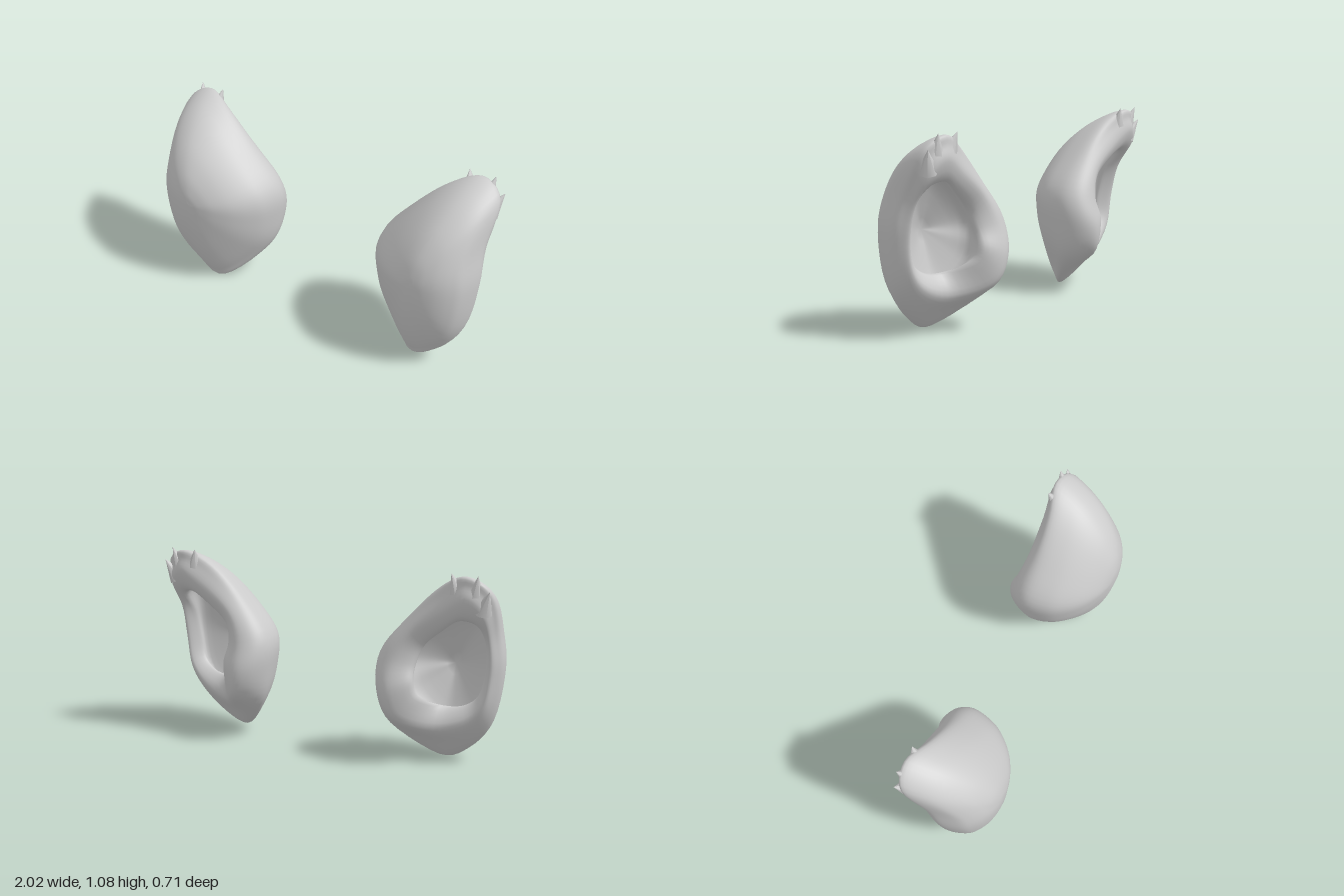
import * as THREE from 'three';
import { mergeVertices } from 'three/addons/utils/BufferGeometryUtils.js';

const V = (x, y, z) => new THREE.Vector3(x, y, z);
const PIVOT = V(0.67, 0.54, -0.1);
const FRONT = V(0.73, 0.57, 0.155);  // foremost point of the dome
const FLOOR = V(0.7, 0.54, 0.01);    // deepest point of the hollow

// Around the shell from the bottom, outwards, over the top and back on the inner side:
// outline x, y, z | crest of the rim x, y, z | dome fall-off, rim roundness, lip width
const KEYS = [
  [0.65, 0.02, -0.01, 0.67, 0.22, -0.2, 0.78, 0.03, 0.36],
  [0.82, 0.09, -0.02, 0.83, 0.27, -0.175, 0.7, 0.08, 0.27],
  [0.955, 0.27, -0.06, 0.925, 0.38, -0.175, 0.52, 0.12, 0.2],
  [1.0, 0.55, -0.09, 0.95, 0.55, -0.18, 0.45, 0.15, 0.16],
  [0.985, 0.76, -0.14, 0.95, 0.72, -0.22, 0.48, 0.12, 0.14],
  [0.97, 0.99, -0.285, 0.935, 0.87, -0.315, 0.68, 0.1, 0.18],
  [0.835, 1.07, -0.315, 0.84, 0.94, -0.345, 0.72, 0.1, 0.27],
  [0.675, 0.99, -0.25, 0.71, 0.86, -0.315, 0.72, 0.12, 0.3],
  [0.49, 0.8, -0.2, 0.55, 0.73, -0.295, 0.62, 0.18, 0.34],
  [0.345, 0.6, -0.19, 0.47, 0.58, -0.315, 0.55, 0.2, 0.42],
  [0.345, 0.4, -0.2, 0.46, 0.42, -0.355, 0.55, 0.2, 0.46],
  [0.42, 0.2, -0.16, 0.51, 0.28, -0.325, 0.63, 0.12, 0.44],
];

// Dome, outline, rim, lip and hollow as one list of closed rings
function makeRings() {
  const dome = s => KEYS.map(([x, y, z, , , , q]) => {
    const p = FRONT.clone().lerp(V(x, y, z), s);
    p.z = z + (FRONT.z - z) * Math.pow(1 - s * s, q);
    return p;
  });
  const outline = KEYS.map(k => V(k[0], k[1], k[2]));
  const crest = KEYS.map(k => V(k[3], k[4], k[5]));
  const shoulder = KEYS.map(([, , , , , , , r], i) => {
    const p = outline[i].clone().lerp(crest[i], 0.5 - r);
    p.z = THREE.MathUtils.lerp(outline[i].z, crest[i].z, 0.5 + r);
    return p;
  });
  const lip = crest.map((c, i) => {
    const p = c.clone().lerp(FLOOR, KEYS[i][8]);
    p.z = c.z + 0.06;
    return p;
  });
  const hollow = outline.map((o, i) => {
    const p = FLOOR.clone().lerp(o, 0.75 - 0.6 * KEYS[i][8]);
    p.z = THREE.MathUtils.lerp(FLOOR.z, crest[i].z, 0.42);
    return p;
  });
  return [
    KEYS.map(() => FRONT), dome(0.15), dome(0.35), dome(0.58), dome(0.78), dome(0.92),
    outline, shoulder, crest, lip, hollow, KEYS.map(() => FLOOR),
  ];
}

function shellGeometry(side) {
  const around = 60, along = 55;
  const curves = makeRings().map(r => new THREE.CatmullRomCurve3(r, true, 'catmullrom', 0.5));
  const pos = [], index = [];
  for (let j = 0; j < around; j++) {
    const section = new THREE.CatmullRomCurve3(curves.map(c => c.getPoint(j / around)), false, 'catmullrom', 0.5);
    for (let i = 0; i <= along; i++) {
      const p = section.getPoint(i / along).sub(PIVOT);
      pos.push(p.x * side, p.y, p.z);
      if (i === along) continue;
      const a = j * (along + 1) + i, d = ((j + 1) % around) * (along + 1) + i;
      if (side > 0) index.push(a, a + 1, d + 1, a, d + 1, d);
      else index.push(a, d + 1, a + 1, a, d, d + 1);
    }
  }
  let g = new THREE.BufferGeometry();
  g.setAttribute('position', new THREE.Float32BufferAttribute(pos, 3));
  g.setIndex(index);
  g = mergeVertices(g, 1e-5);
  g.computeVertexNormals();
  return g;
}

function makeShell(side, name) {
  const mat = new THREE.MeshStandardMaterial({ color: 0xcccccc });
  const shell = new THREE.Group();
  shell.name = name;
  const body = new THREE.Mesh(shellGeometry(side), mat);
  body.name = 'hollowShell';
  shell.add(body);

  // Ragged points on the neck: tip, then centre of the base
  const teeth = [
    [V(0.755, 1.08, -0.32), V(0.79, 0.96, -0.28)],
    [V(0.905, 1.085, -0.34), V(0.88, 0.95, -0.29)],
    [V(0.97, 1.01, -0.335), V(0.92, 0.9, -0.28)],
  ];
  for (const [tip, base] of teeth) {
    const dir = tip.clone().sub(base);
    const length = dir.length();
    dir.x *= side;
    const tooth = new THREE.Mesh(new THREE.ConeGeometry(0.055, length, 8), mat);
    tooth.name = 'neckPoint';
    tooth.position.copy(base.clone().lerp(tip, 0.5).sub(PIVOT));
    tooth.position.x *= side;
    tooth.quaternion.setFromUnitVectors(V(0, 1, 0), dir.normalize());
    shell.add(tooth);
  }
  return shell;
}

export function createModel() {
  const model = new THREE.Group();
  model.name = 'shellPair';
  const left = makeShell(1, 'leftShell');
  left.position.copy(PIVOT);
  // The right shell is mirrored, set further forward and slightly turned
  const right = makeShell(-1, 'rightShell');
  right.position.set(-0.65, 0.525, 0.085);
  right.rotation.set(0, 0.2, 0.055);
  model.add(left, right);
  return model;
}
